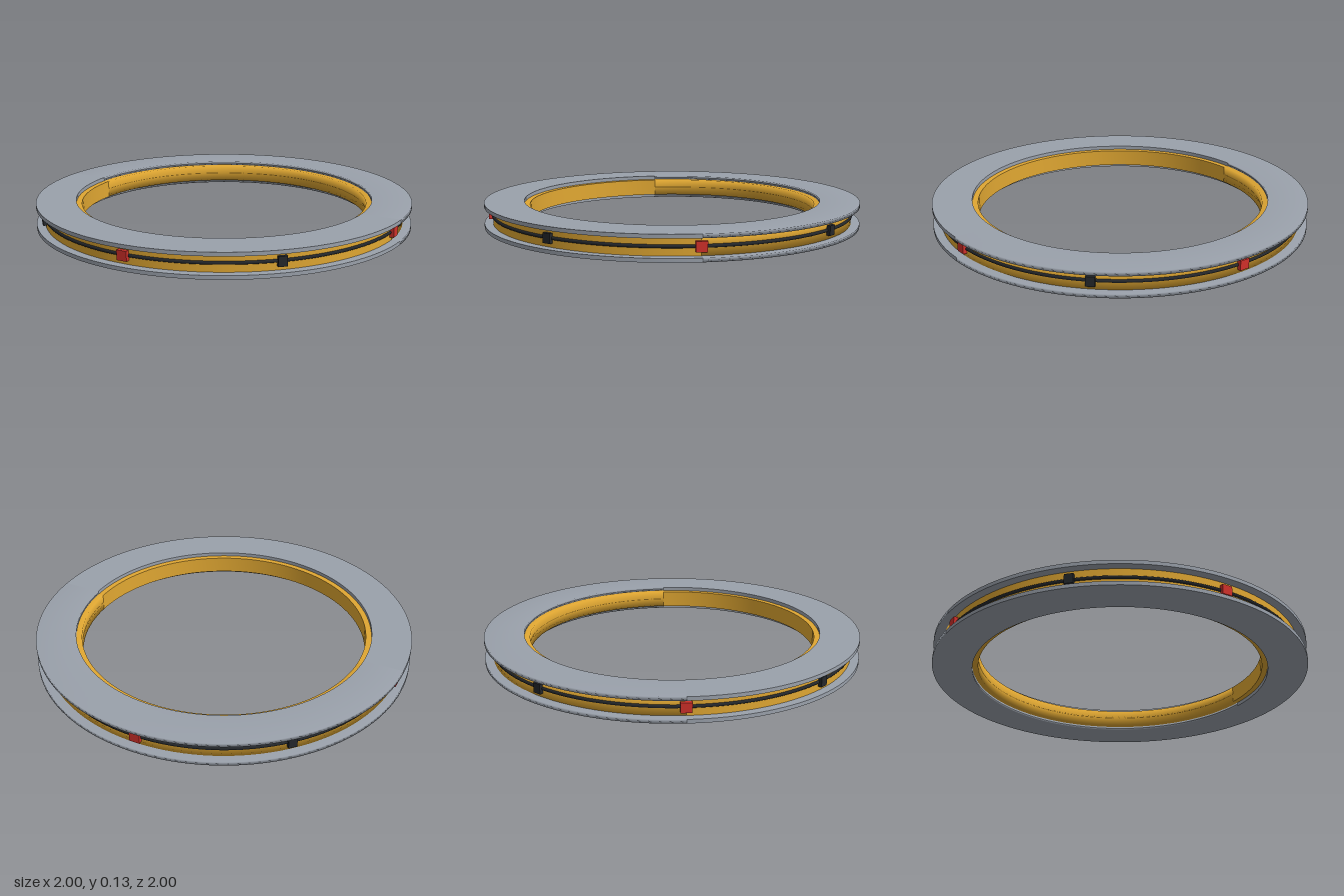
import * as THREE from 'three';
import { toCreasedNormals } from 'three/addons/utils/BufferGeometryUtils.js';

const STEEL = 0x9aa1ab, GOLD = 0xe0a732, DARK = 0x24272b, RED = 0xd0302a;
const MID = 0.065; // height of the ring's middle plane

function part(name, geometry, color) {
  const mesh = new THREE.Mesh(geometry, new THREE.MeshStandardMaterial({ color }));
  mesh.name = name;
  return mesh;
}

// Half ring of rectangular section; the loop starts halfway up the inner wall
function halfRing(inner, outer, y0, y1, start) {
  const profile = [
    [inner, (y0 + y1) / 2], [inner, y0], [outer, y0],
    [outer, y1], [inner, y1], [inner, (y0 + y1) / 2],
  ].map(([r, y]) => new THREE.Vector2(r, y));
  return new THREE.LatheGeometry(profile, 64, start, Math.PI);
}

// Crisp-edged front half and softly shaded back half
function splitRing(name, inner, outer, y0, y1, color) {
  const group = new THREE.Group();
  group.name = name;
  const front = toCreasedNormals(halfRing(inner, outer, y0, y1, -Math.PI / 2), 0.6);
  const back = halfRing(inner, outer, y0, y1, Math.PI / 2);
  group.add(part(name + 'Front', front, color), part(name + 'Back', back, color));
  return group;
}

export function createModel() {
  const model = new THREE.Group();
  model.name = 'ring';

  // Gold core between two steel plates
  model.add(
    splitRing('core', 0.76, 0.955, 0.02, 0.11, GOLD),
    splitRing('lowerPlate', 0.79, 1, 0, 0.02, STEEL),
    splitRing('upperPlate', 0.79, 1, 0.11, 0.13, STEEL),
  );

  // Dark band around the outside of the core
  const band = part('band', new THREE.TorusGeometry(0.954, 0.009, 8, 128), DARK);
  band.rotation.x = Math.PI / 2;
  band.position.y = MID;
  model.add(band);

  // Alternating red and dark blocks on the band
  for (let i = 0; i < 8; i++) {
    const red = i % 2 === 0;
    const a = i * Math.PI / 4;
    const geometry = new THREE.BoxGeometry(red ? 0.055 : 0.045, 0.05, red ? 0.025 : 0.022);
    const block = part(red ? 'redBlock' : 'darkBlock', geometry, red ? RED : DARK);
    block.position.set(0.963 * Math.sin(a), MID, 0.963 * Math.cos(a));
    block.rotation.y = a;
    model.add(block);
  }
  return model;
}
